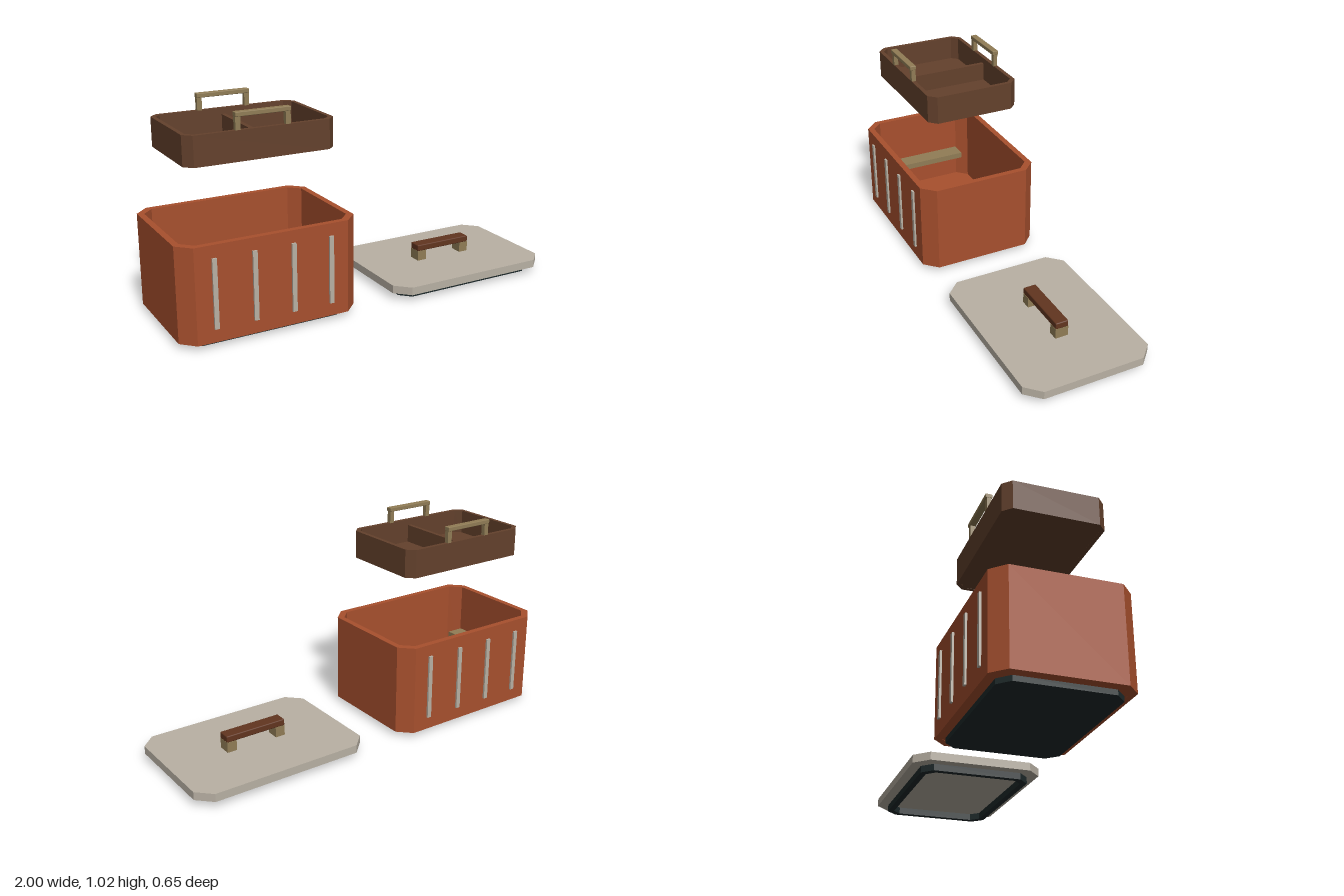
import * as THREE from 'three';
import { RoundedBoxGeometry } from 'three/addons/geometries/RoundedBoxGeometry.js';

const mat = (name, color) => {
  const m = new THREE.MeshStandardMaterial({ color });
  m.name = name;
  return m;
};

// Rectangle with cut corners: w wide, d deep, c corner cut
function cutRect(Type, w, d, c) {
  const x = w / 2, z = d / 2;
  return new Type([
    [-x + c, -z], [x - c, -z], [x, -z + c], [x, z - c],
    [x - c, z], [-x + c, z], [-x, z - c], [-x, -z + c],
  ].map(([a, b]) => new THREE.Vector2(a, b)));
}

// Upright slab from y0 to y1; with a wall thickness it becomes an open ring
function slabGeometry(w, d, c, y0, y1, wall = 0) {
  const shape = cutRect(THREE.Shape, w, d, c);
  if (wall) shape.holes.push(cutRect(THREE.Path, w - 2 * wall, d - 2 * wall, c - wall * 0.4));
  const g = new THREE.ExtrudeGeometry(shape, { depth: y1 - y0, bevelEnabled: false });
  return g.rotateX(-Math.PI / 2).translate(0, y0, 0);
}

export function createModel() {
  const clay = mat('clay orange', 0xa8502e);
  const walnut = mat('walnut brown', 0x64412c);
  const brass = mat('dull brass', 0x917d56);
  const stone = mat('stone grey', 0xb9b1a4);
  const rubber = mat('dark rubber', 0x1e2a2b);
  const mahogany = mat('mahogany', 0x62351f);

  const group = (name, x) => {
    const g = new THREE.Group();
    g.name = name;
    g.position.x = x;
    return g;
  };
  const add = (parent, name, geometry, material) => {
    const m = new THREE.Mesh(geometry, material);
    m.name = name;
    parent.add(m);
  };
  // Block given by its centre x and z, and its bottom and top
  const block = (parent, name, material, x, z, w, d, y0, y1, r = 0) => {
    const g = r ? new RoundedBoxGeometry(w, y1 - y0, d, 1, r) : new THREE.BoxGeometry(w, y1 - y0, d);
    add(parent, name, g.translate(x, (y0 + y1) / 2, z), material);
  };

  // Box body with foot, ledges and outer ribs
  const box = group('box', -0.56);
  add(box, 'foot', slabGeometry(0.78, 0.545, 0.052, 0, 0.025), rubber);
  add(box, 'boxWalls', slabGeometry(0.88, 0.63, 0.065, 0.025, 0.48, 0.03), clay);
  add(box, 'boxFloor', slabGeometry(0.83, 0.58, 0.055, 0.026, 0.055), clay);
  for (const s of [-1, 1]) {
    block(box, 'trayLedge', brass, s * 0.365, 0, 0.09, 0.46, 0.2, 0.23);
    for (const x of [-0.285, -0.095, 0.095, 0.285]) {
      block(box, 'rib', stone, x, s * 0.318, 0.022, 0.014, 0.09, 0.42);
    }
  }

  // Lifted tray with divider and two handles
  const tray = group('tray', -0.56);
  add(tray, 'trayWalls', slabGeometry(0.724, 0.474, 0.038, 0.805, 0.945, 0.02), walnut);
  add(tray, 'trayFloor', slabGeometry(0.7, 0.45, 0.035, 0.806, 0.825), walnut);
  block(tray, 'divider', walnut, 0, 0, 0.02, 0.436, 0.825, 0.915);
  for (const s of [-1, 1]) {
    for (const x of [-0.119, 0.119]) {
      block(tray, 'trayHandlePost', brass, x, s * 0.226, 0.024, 0.022, 0.944, 1.006);
    }
    block(tray, 'trayHandleBar', brass, 0, s * 0.227, 0.264, 0.032, 1.004, 1.025, 0.003);
  }

  // Lid lying beside the box, with seal ring and handle
  const lid = group('lid', 0.55);
  add(lid, 'lidPlate', slabGeometry(0.896, 0.645, 0.07, 0.033, 0.073), stone);
  add(lid, 'sealRing', slabGeometry(0.794, 0.545, 0.052, 0, 0.033, 0.03), rubber);
  for (const s of [-1, 1]) {
    block(lid, 'lidHandlePost', brass, s * 0.132, 0, 0.05, 0.066, 0.073, 0.125);
  }
  block(lid, 'lidHandleBar', mahogany, 0, 0, 0.316, 0.066, 0.124, 0.157, 0.005);

  const model = new THREE.Group();
  model.name = 'storageBox';
  model.add(box, tray, lid);
  return model;
}
